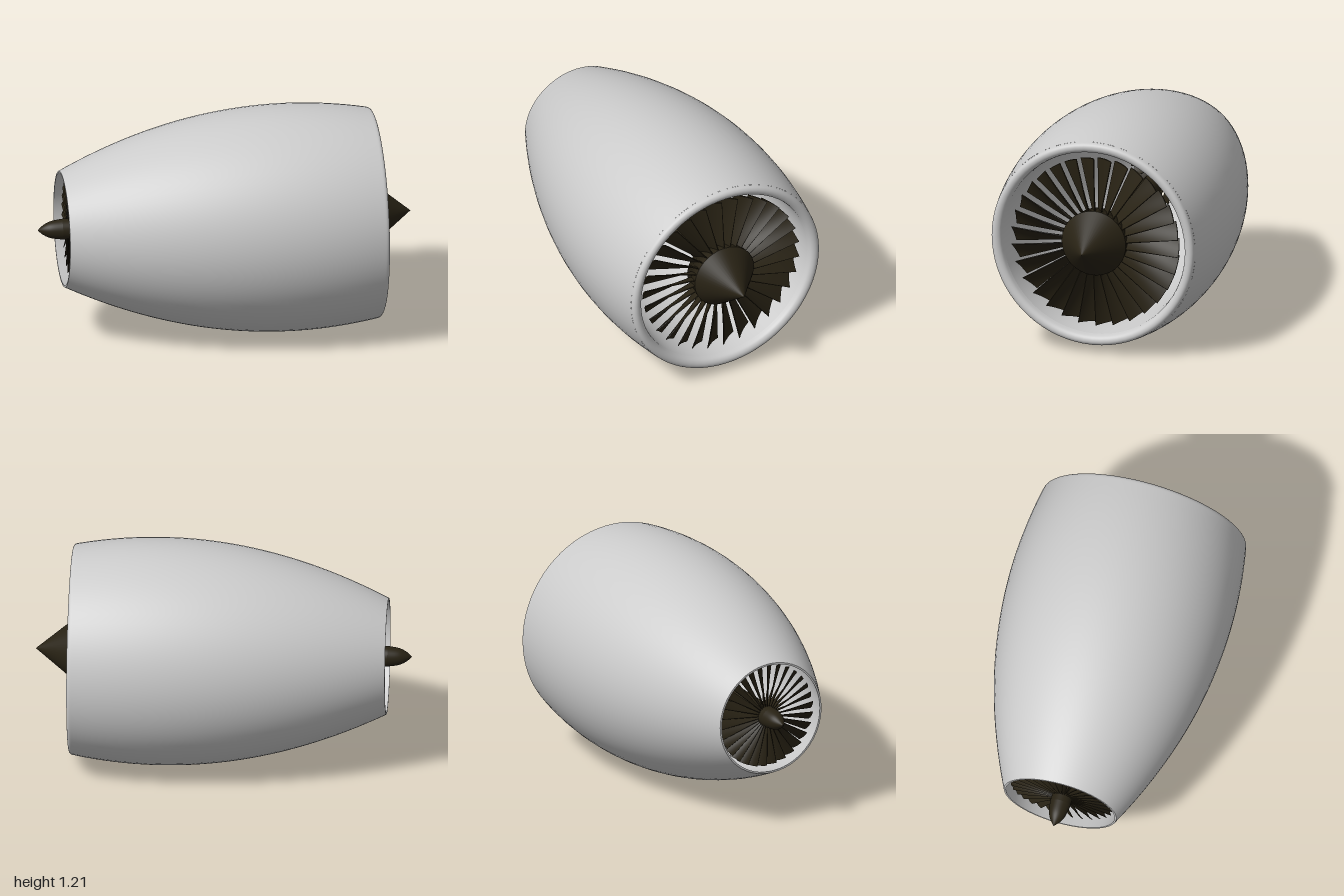
import * as THREE from 'three';

const grey = new THREE.MeshStandardMaterial({ color: 0xcccccc, side: THREE.DoubleSide });
const dark = new THREE.MeshStandardMaterial({ color: 0x282214 });

// Surface of revolution about the x axis; points are [x, radius], listed so that
// increasing x gives an outward-facing wall
function revolve(name, points, material, segments = 72) {
  const geometry = new THREE.LatheGeometry(points.map(([x, r]) => new THREE.Vector2(r, x)), segments);
  geometry.rotateZ(-Math.PI / 2);
  const mesh = new THREE.Mesh(geometry, material);
  mesh.name = name;
  return mesh;
}

function smooth(points, count) {
  const curve = new THREE.SplineCurve(points.map(([x, r]) => new THREE.Vector2(x, r)));
  return curve.getPoints(count).map((p) => [p.x, p.y]);
}

// Twisted blade standing along +y: the chord turns from axial at the root to tangential at the tip
function bladeGeometry({ root, tip, rootWidth, tipWidth, rootDepth, tipDepth, thickness, hand }) {
  const geometry = new THREE.BoxGeometry(1, 1, 1, 1, 8, 6);
  const p = geometry.attributes.position;
  for (let i = 0; i < p.count; i++) {
    const t = p.getY(i) + 0.5;
    const c = p.getZ(i);
    const width = THREE.MathUtils.lerp(rootWidth, tipWidth, t) * hand;
    const depth = THREE.MathUtils.lerp(rootDepth, tipDepth, t);
    const length = Math.hypot(width, depth);
    const camber = 0.08 * length * (1 - 4 * c * c) * hand;
    const offset = (p.getX(i) * thickness * (1.15 - 2 * c * c) + camber) / length;
    p.setXYZ(
      i,
      c * depth - offset * width,
      THREE.MathUtils.lerp(root, tip, t),
      -(c + 0.5) * width - offset * depth
    );
  }
  geometry.computeVertexNormals();
  return geometry;
}

// Ring of identical blades around the x axis
function bladeRing(name, x, count, shape) {
  const ring = new THREE.Group();
  ring.name = name;
  ring.position.x = x;
  const geometry = bladeGeometry(shape);
  for (let i = 0; i < count; i++) {
    const blade = new THREE.Mesh(geometry, dark);
    blade.name = 'blade';
    blade.rotation.x = (i / count) * Math.PI * 2;
    ring.add(blade);
  }
  return ring;
}

export function createModel() {
  const engine = new THREE.Group();
  engine.name = 'jetEngine';
  const body = new THREE.Group();
  body.name = 'engineBody';
  body.position.y = 0.606;
  engine.add(body);

  // Outer cowling with a parabolic profile
  const cowl = [];
  for (let i = 0; i <= 32; i++) {
    const x = -0.87 + (1.65 * i) / 32;
    cowl.push([x, 0.606 - 0.2056 * (x - 0.33) ** 2]);
  }
  body.add(revolve('cowling', cowl, grey));

  // Rounded intake lip
  const lip = smooth([[0.78, 0.564], [0.8, 0.559], [0.81, 0.545], [0.808, 0.527], [0.795, 0.512], [0.77, 0.505]], 18);
  body.add(revolve('intakeLip', lip, grey));

  // Inner duct and the thin nozzle rim
  const duct = smooth([[0.77, 0.505], [0.6, 0.5], [0.3, 0.5], [0, 0.488], [-0.4, 0.43], [-0.87, 0.3]], 30);
  body.add(revolve('innerDuct', duct, grey));
  body.add(revolve('nozzleRim', [[-0.87, 0.3], [-0.87, 0.31]], grey));

  // Conical spinner, fan hub, shaft and tail cone
  body.add(revolve('spinner', [[0.778, 0.178], [1, 0]], dark, 48));
  body.add(revolve('fanHub', [[0.67, 0], [0.67, 0.165], [0.778, 0.178]], dark, 48));
  body.add(revolve('shaft', [[-0.87, 0.055], [0.68, 0.055]], dark, 32));
  const tail = smooth([[-1, 0], [-0.97, 0.026], [-0.93, 0.045], [-0.87, 0.055]], 14);
  body.add(revolve('tailCone', tail, dark, 32));

  // Intake fan and smaller exhaust turbine
  body.add(bladeRing('intakeFan', 0.73, 30, {
    root: 0.15, tip: 0.455, rootWidth: 0.036, tipWidth: 0.092,
    rootDepth: 0.085, tipDepth: 0.06, thickness: 0.008, hand: 1,
  }));
  body.add(bladeRing('exhaustTurbine', -0.81, 30, {
    root: 0.045, tip: 0.282, rootWidth: 0.012, tipWidth: 0.05,
    rootDepth: 0.05, tipDepth: 0.04, thickness: 0.005, hand: -1,
  }));

  return engine;
}
